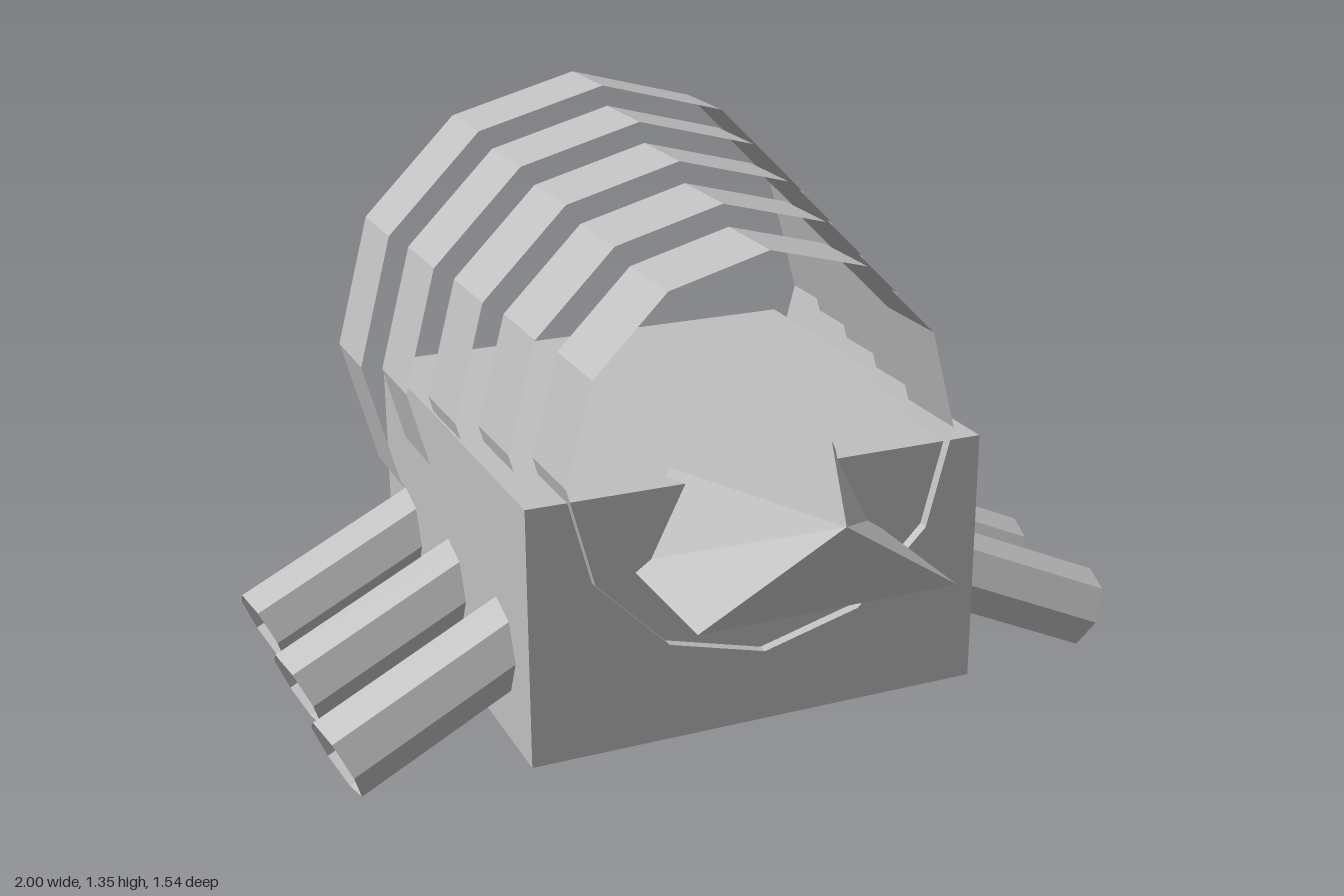
import * as THREE from 'three';

export function createModel() {
  const model = new THREE.Group();
  const grey = new THREE.MeshStandardMaterial({ color: 0xbfbfbf, flatShading: true, side: THREE.DoubleSide });

  function add(name, geometry, parent = model) {
    const mesh = new THREE.Mesh(geometry, grey);
    mesh.name = name;
    parent.add(mesh);
    return mesh;
  }

  // Block body
  add('body', new THREE.BoxGeometry(1.11, 0.615, 1.08)).position.set(0, 0.3525, -0.165);

  // Shell of five open bands, growing towards the back
  const shell = new THREE.Group();
  shell.name = 'shell';
  model.add(shell);
  for (let i = 0; i < 5; i++) {
    const radius = 0.47 + i * 0.045;
    const band = new THREE.CylinderGeometry(radius, radius, 0.21, 12, 1, true).rotateX(Math.PI / 2);
    add('shellBand', band, shell).position.set(0, 0.7, 0.295 - i * 0.24);
  }

  // Three pairs of hollow legs, sloping down and forwards
  const legLength = 0.7;
  const legGeometry = new THREE.CylinderGeometry(0.1, 0.1, legLength, 7, 1, true).translate(0, -legLength / 2, 0);
  for (const side of [1, -1]) {
    for (const z of [0.24, -0.115, -0.47]) {
      const leg = add(side > 0 ? 'leftLeg' : 'rightLeg', legGeometry);
      leg.position.set(side * 0.959, 0.09, z);
      leg.rotation.set(0, -side * 0.144, -side * (Math.PI / 2 + 0.398));
    }
  }

  // Wedge head with its upper front edge pinched to a point
  const head = new THREE.BufferGeometry();
  head.setAttribute('position', new THREE.Float32BufferAttribute([
    0, 0.68, 0.77,
    0.305, 0.47, 0.71, -0.305, 0.47, 0.71,
    0.305, 0.47, 0.32, -0.305, 0.47, 0.32,
    0.2, 0.68, 0.32, -0.2, 0.68, 0.32,
  ], 3));
  head.setIndex([
    0, 2, 1, // front
    1, 2, 4, 1, 4, 3, // underside
    0, 1, 3, 0, 3, 5, // left
    0, 4, 2, 0, 6, 4, // right
    0, 5, 6, // top
    3, 4, 6, 3, 6, 5, // back
  ]);
  const flatHead = head.toNonIndexed();
  flatHead.computeVertexNormals();
  add('head', flatHead);

  return model;
}
